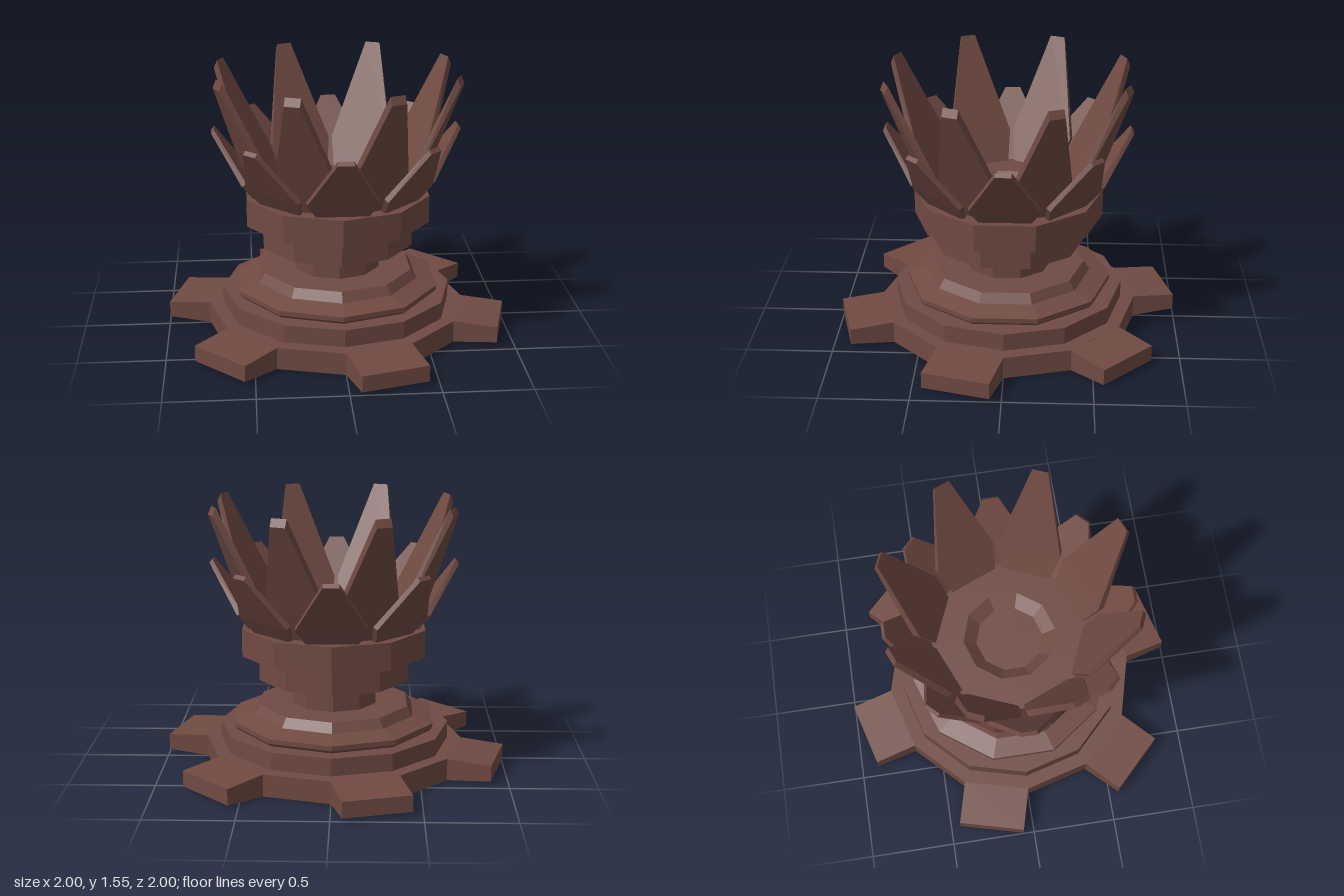
import * as THREE from 'three';

const material = new THREE.MeshStandardMaterial({ color: 0x704a42, flatShading: true });

// Four-cornered loft. Each row: [outerR, outerY, innerR, innerY, halfWidth]; +x is radial.
function loft(rows) {
  const pos = [];
  const idx = [];
  for (const [ro, yo, ri, yi, w] of rows) {
    pos.push(ro, yo, -w, ro, yo, w, ri, yi, w, ri, yi, -w);
  }
  const quad = (a, b, c, d) => idx.push(a, b, c, a, c, d);
  for (let r = 0; r < rows.length - 1; r++) {
    for (let k = 0; k < 4; k++) {
      const a = r * 4 + k;
      const b = r * 4 + (k + 1) % 4;
      quad(a, a + 4, b + 4, b);
    }
  }
  const e = (rows.length - 1) * 4;
  quad(0, 1, 2, 3);
  quad(e + 3, e + 2, e + 1, e);
  const indexed = new THREE.BufferGeometry();
  indexed.setAttribute('position', new THREE.Float32BufferAttribute(pos, 3));
  indexed.setIndex(idx);
  const g = indexed.toNonIndexed();
  g.computeVertexNormals();
  return g;
}

export function createModel() {
  const model = new THREE.Group();

  const add = (name, geometry, parent = model) => {
    const mesh = new THREE.Mesh(geometry, material);
    mesh.name = name;
    parent.add(mesh);
    return mesh;
  };

  // Faceted turned part from a bottom-to-top profile of [radius, y]
  const turned = (name, profile, sides = 10) => {
    const pts = profile.map(([r, y]) => new THREE.Vector2(r, y));
    add(name, new THREE.LatheGeometry(pts, sides));
  };

  // Ring of identical lofted pieces
  const ring = (name, count, startDeg, rows) => {
    const group = new THREE.Group();
    group.name = name + 'Ring';
    const geometry = loft(rows);
    for (let i = 0; i < count; i++) {
      const mesh = add(name, geometry, group);
      mesh.rotation.y = -THREE.MathUtils.degToRad(startDeg + i * 360 / count);
    }
    model.add(group);
  };

  // Toothed base plate
  turned('basePlate', [[0, 0], [0.756, 0], [0.756, 0.13], [0, 0.13]], 12);
  ring('baseTooth', 6, 15, [
    [0.72, 0, 0.72, 0.13, 0.196],
    [0.983, 0.018, 0.983, 0.112, 0.196],
  ]);

  // Stepped foot
  turned('footStep', [[0, 0.12], [0.675, 0.12], [0.675, 0.232], [0, 0.232]], 12);
  turned('footCollar', [
    [0, 0.225], [0.58, 0.225], [0.605, 0.25], [0.605, 0.278],
    [0.485, 0.31], [0.45, 0.365], [0, 0.365],
  ]);

  // Neck and widening bowl, with a shallow recess in the top
  turned('neck', [[0, 0.36], [0.257, 0.36], [0.257, 0.525], [0, 0.525]]);
  turned('lowerBowl', [[0, 0.52], [0.453, 0.52], [0.453, 0.675], [0, 0.675]]);
  turned('upperBowl', [
    [0, 0.67], [0.553, 0.67], [0.553, 0.83],
    [0.27, 0.83], [0.195, 0.77], [0, 0.77],
  ]);

  // Short outer petals
  ring('outerPetal', 8, 0, [
    [0.475, 0.81, 0.445, 0.82, 0.135],
    [0.55, 0.92, 0.52, 0.935, 0.2],
    [0.718, 1.195, 0.7, 1.215, 0.045],
  ]);

  // Tall inner petals
  ring('innerPetal', 8, 22.5, [
    [0.44, 0.81, 0.4, 0.82, 0.145],
    [0.52, 0.99, 0.48, 1.0, 0.188],
    [0.735, 1.51, 0.715, 1.555, 0.045],
  ]);

  return model;
}
